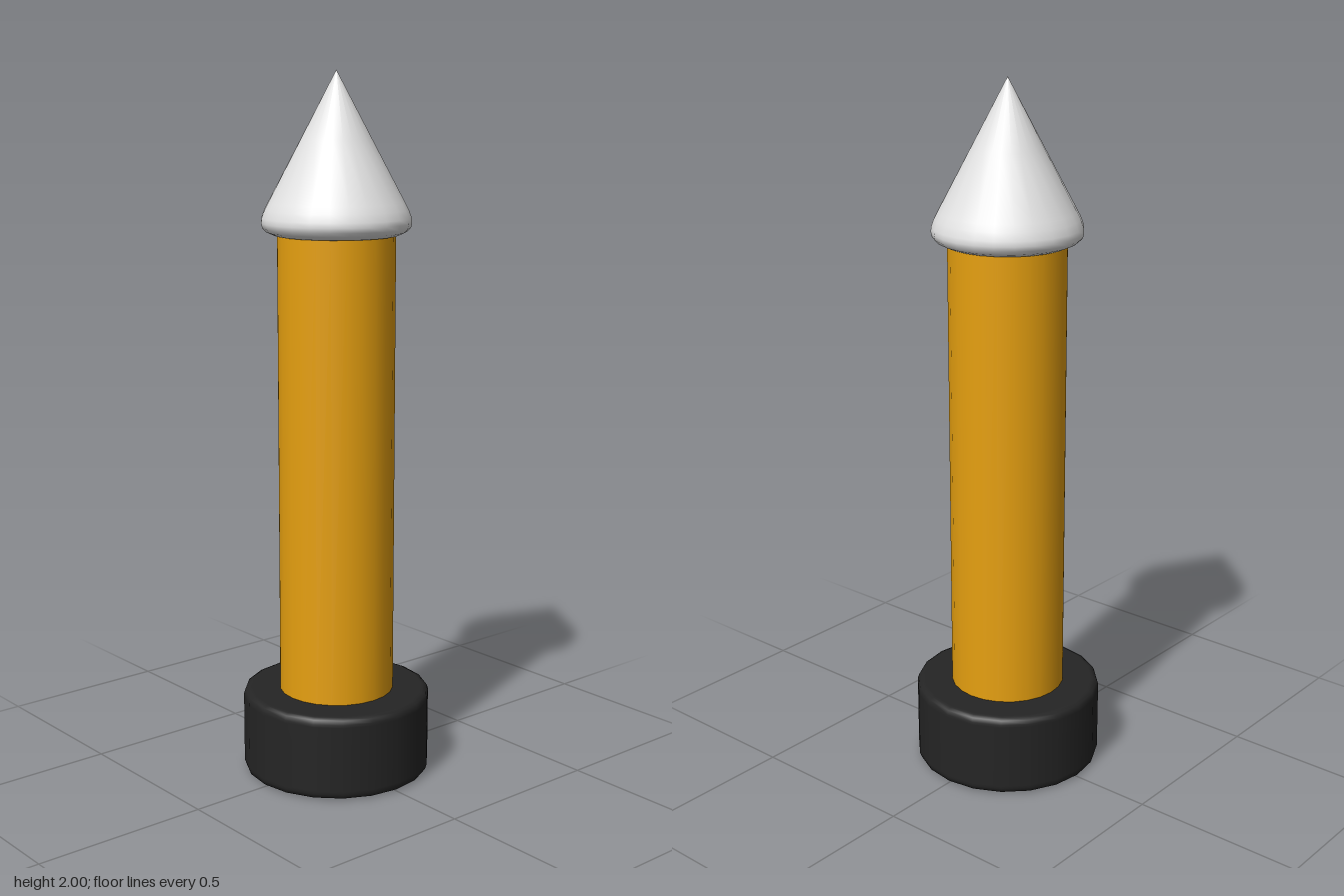
import * as THREE from 'three';

const material = (name, color) => {
  const m = new THREE.MeshStandardMaterial({ color });
  m.name = name;
  return m;
};

// Turned solid from [radius, height] pairs, listed bottom to top
function turned(name, profile, sides, mat) {
  const points = profile.map(([r, y]) => new THREE.Vector2(r, y));
  const mesh = new THREE.Mesh(new THREE.LatheGeometry(points, sides), mat);
  mesh.name = name;
  return mesh;
}

export function createModel() {
  const black = material('black', 0x252525);
  const amber = material('amber', 0xe6a010);
  const silver = material('lightGrey', 0xe4e4e4);
  const group = new THREE.Group();
  group.name = 'pointedRod';

  // Base collar with small rounded rims
  group.add(turned('base', [
    [0, 0], [0.248, 0], [0.255, 0.001], [0.266, 0.006], [0.27, 0.018], [0.27, 0.026],
    [0.27, 0.216], [0.27, 0.224], [0.266, 0.236], [0.255, 0.241], [0.248, 0.242], [0, 0.242],
  ], 20, black));

  // Straight shaft
  const shaft = new THREE.Mesh(new THREE.CylinderGeometry(0.165, 0.165, 1.36, 24), amber);
  shaft.name = 'shaft';
  shaft.position.y = 0.88;
  group.add(shaft);

  // Conical tip with a rolled lower rim
  group.add(turned('tip', [
    [0, 1.552], [0.16, 1.552], [0.172, 1.554], [0.195, 1.564], [0.206, 1.575],
    [0.209, 1.588], [0.208, 1.602], [0.2, 1.624], [0.19, 1.643], [0.1, 1.812], [0, 2],
  ], 24, silver));

  return group;
}
